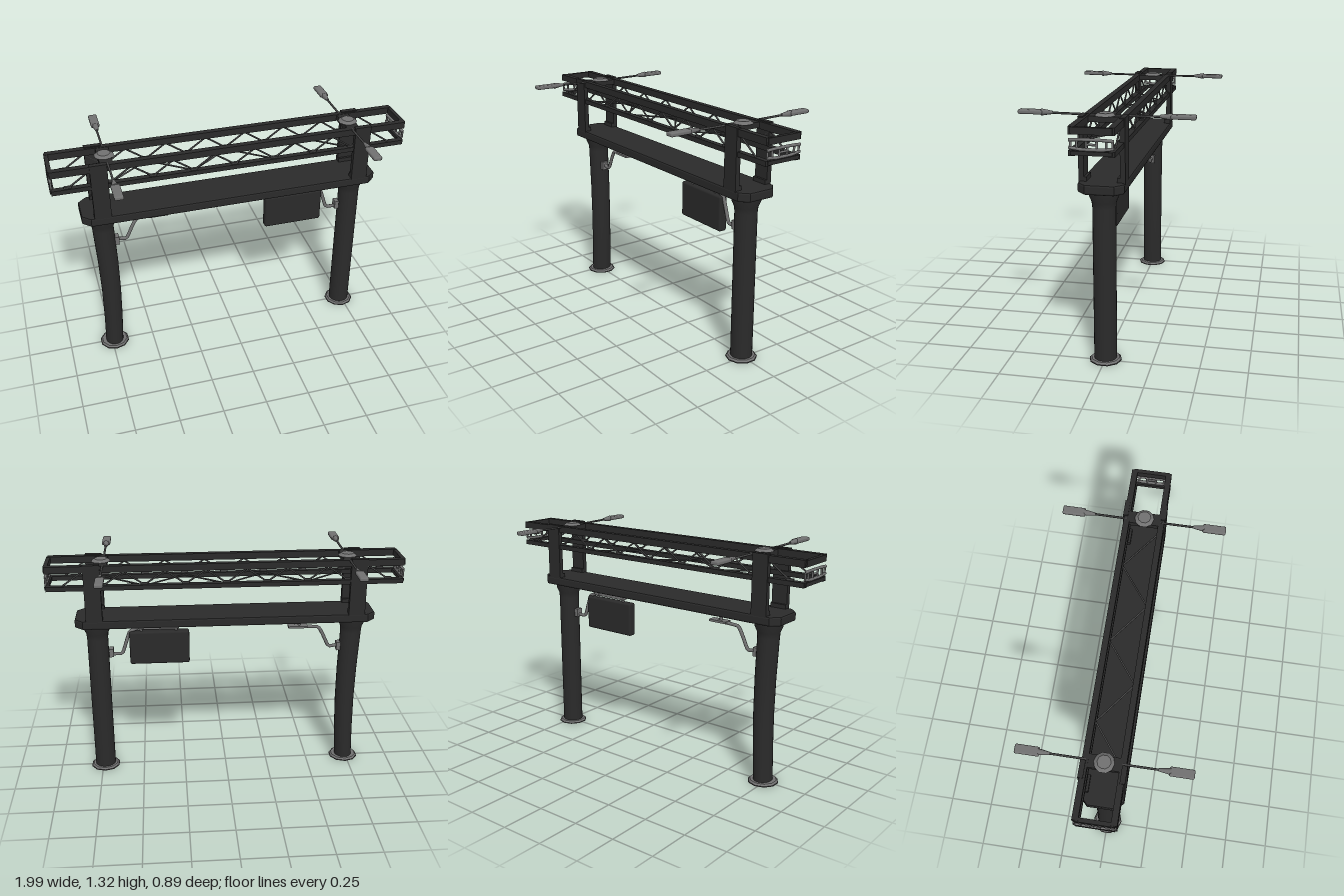
import * as THREE from 'three';
import { RoundedBoxGeometry } from 'three/addons/geometries/RoundedBoxGeometry.js';

export function createModel() {
  const root = new THREE.Group();
  root.name = 'gantry';
  const mat = (name, color) => {
    const m = new THREE.MeshStandardMaterial({ color });
    m.name = name;
    return m;
  };
  const black = mat('black steel', 0x2a2a2a);
  const dark = mat('lattice grey', 0x454545);
  const grey = mat('fitting grey', 0x707070);

  const add = (name, geo, m, x = 0, y = 0, z = 0) => {
    const mesh = new THREE.Mesh(geo, m);
    mesh.name = name;
    mesh.position.set(x, y, z);
    root.add(mesh);
    return mesh;
  };
  const box = (name, m, w, h, d, x, y, z) => add(name, new THREE.BoxGeometry(w, h, d), m, x, y, z);
  const V = (p) => new THREE.Vector3(...p);
  // Straight thin rod between two points
  const rod = (name, m, a, b, r) => {
    const A = V(a), B = V(b), dir = B.clone().sub(A);
    const mesh = add(name, new THREE.CylinderGeometry(r, r, dir.length(), 6), m);
    mesh.position.copy(A).add(B).multiplyScalar(0.5);
    mesh.quaternion.setFromUnitVectors(new THREE.Vector3(0, 1, 0), dir.normalize());
  };
  // Bent pipe through several points
  const pipe = (name, m, pts, r) => add(name, new THREE.TubeGeometry(
    new THREE.CatmullRomCurve3(pts.map(V), false, 'catmullrom', 0.2), 24, r, 8), m);

  // Columns with flared capitals; the right one is slimmer and slightly bowed
  const profile = [[0.06, 0.01], [0.06, 0.2], [0.06, 0.4], [0.06, 0.6], [0.06, 0.84],
    [0.063, 0.87], [0.076, 0.9], [0.08, 0.94]].map(([r, y]) => new THREE.Vector2(r, y));
  for (const s of [-1, 1]) {
    const geo = new THREE.LatheGeometry(profile, 24);
    if (s < 0) {
      const p = geo.attributes.position;
      for (let i = 0; i < p.count; i++) {
        const t = Math.min(p.getY(i) / 0.84, 1);
        p.setX(i, p.getX(i) * (0.86 + 0.14 * t) + 0.012 * Math.sin(Math.PI * t));
      }
      geo.computeVertexNormals();
    }
    add('column', geo, black, 0.735 * s, 0, 0);
    add('baseFlange', new THREE.CylinderGeometry(0.075, 0.087, 0.014, 10), grey, 0.735 * s, 0.007, 0);
    add('baseUnderside', new THREE.CylinderGeometry(0.086, 0.086, 0.004, 10), black, 0.735 * s, 0.002, 0);
  }

  // Deck beam with clipped corners and bevelled rims
  const deck = new THREE.Shape([[-0.84, -0.07], [-0.8, -0.107], [0.8, -0.107], [0.84, -0.07],
    [0.84, 0.07], [0.8, 0.107], [-0.8, 0.107], [-0.84, 0.07]].map(([x, y]) => new THREE.Vector2(x, y)));
  const deckGeo = new THREE.ExtrudeGeometry(deck, {
    depth: 0.032, bevelEnabled: true, bevelSize: 0.01, bevelThickness: 0.01, bevelSegments: 2 });
  deckGeo.rotateX(-Math.PI / 2);
  add('deckBeam', deckGeo, black, 0, 0.94, 0);

  // Upright posts and the tops that join them
  for (const s of [-1, 1]) {
    for (const z of [-1, 1]) {
      box('upright', black, 0.092, 0.33, 0.027, 0.738 * s, 1.14, 0.104 * z);
      box('uprightFoot', black, 0.092, 0.03, 0.016, 0.738 * s, 0.99, 0.085 * z);
    }
    box('postCrossBeam', black, 0.07, 0.03, 0.19, 0.69 * s, 1.282, 0);
    add('topCap', new THREE.CylinderGeometry(0.035, 0.054, 0.014, 10), grey, 0.69 * s, 1.303, 0);
  }

  // Truss chords on both sides
  for (const z of [-1, 1]) {
    box('upperChord', black, 1.98, 0.038, 0.032, 0, 1.28, 0.095 * z);
    box('lowerChord', black, 1.98, 0.026, 0.032, 0, 1.172, 0.095 * z);
    // Side lattice
    const step = 0.113;
    for (let i = -8; i < 8; i++) {
      const y = (k) => (k % 2 ? 1.262 : 1.183);
      rod('sideDiagonal', dark, [i * step, y(i), 0.095 * z], [(i + 1) * step, y(i + 1), 0.095 * z], 0.005);
      if (i % 2 === 0) box('gusset', dark, 0.04, 0.012, 0.014, i * step, 1.189, 0.095 * z);
    }
  }

  // Floor bracing of the truss
  for (let i = -3; i < 3; i++) {
    const z = i % 2 ? 0.085 : -0.085;
    rod('floorDiagonal', dark, [i * 0.226, 1.175, z], [(i + 1) * 0.226, 1.175, -z], 0.005);
  }

  // End frames with a pierced grey tie
  for (const s of [-1, 1]) {
    box('upperEndBar', black, 0.022, 0.034, 0.2, 0.985 * s, 1.28, 0);
    box('lowerEndBar', black, 0.022, 0.02, 0.2, 0.985 * s, 1.174, 0);
    const x = 0.988 * s;
    pipe('endTieUpper', grey, [[x, 1.235, -0.108], [x, 1.238, -0.05], [x, 1.238, 0.05], [x, 1.235, 0.108]], 0.008);
    pipe('endTieLower', grey, [[x, 1.2, -0.108], [x, 1.192, -0.05], [x, 1.192, 0.05], [x, 1.2, 0.108]], 0.008);
    for (const z of [-0.1, -0.07, -0.025, 0.025, 0.07, 0.1])
      rod('endTieStrut', grey, [x, 1.194, z], [x, 1.237, z], 0.006);
    rod('endTieBar', grey, [x, 1.215, -0.025], [x, 1.215, 0.025], 0.006);
  }

  // Lamps reaching out to front and back
  for (const x of [-0.685, 0.677]) {
    for (const z of [-1, 1]) {
      rod('lampArm', dark, [x, 1.295, 0.09 * z], [x, 1.297, 0.34 * z], 0.006);
      add('lampHead', new RoundedBoxGeometry(0.048, 0.022, 0.125, 2, 0.008), grey, x, 1.299, 0.385 * z);
      const neck = add('lampNeck', new THREE.CylinderGeometry(0.008, 0.018, 0.06, 8), grey, x, 1.298, 0.3 * z);
      neck.rotation.x = -Math.PI / 2 * z;
    }
  }

  // Hanging sign box and its hanger
  add('signBox', new RoundedBoxGeometry(0.345, 0.2, 0.05, 2, 0.012), black, 0.382, 0.772, 0);
  box('signRail', grey, 0.23, 0.016, 0.03, 0.385, 0.892, 0);
  for (const x of [0.285, 0.485]) {
    rod('signHanger', grey, [x, 0.86, 0], [x, 0.935, 0], 0.009);
    box('hangerClamp', grey, 0.035, 0.022, 0.036, x, 0.9, 0);
  }

  // Cranked side arms on the columns
  pipe('signArm', grey, [[0.69, 0.735, 0], [0.6, 0.735, 0], [0.575, 0.8, 0], [0.55, 0.87, 0], [0.5, 0.89, 0]], 0.01);
  pipe('freeArm', grey, [[-0.69, 0.755, 0], [-0.61, 0.742, 0], [-0.575, 0.81, 0], [-0.54, 0.865, 0], [-0.4, 0.872, 0]], 0.01);
  box('freeArmPlate', grey, 0.11, 0.012, 0.05, -0.42, 0.874, 0);
  rod('freeArmHanger', grey, [-0.43, 0.874, 0], [-0.43, 0.935, 0], 0.009);
  box('freeArmClamp', grey, 0.08, 0.014, 0.03, -0.43, 0.914, 0);
  for (const x of [-0.665, 0.66]) box('armBracket', grey, 0.025, 0.05, 0.04, x, 0.745, 0);

  return root;
}
